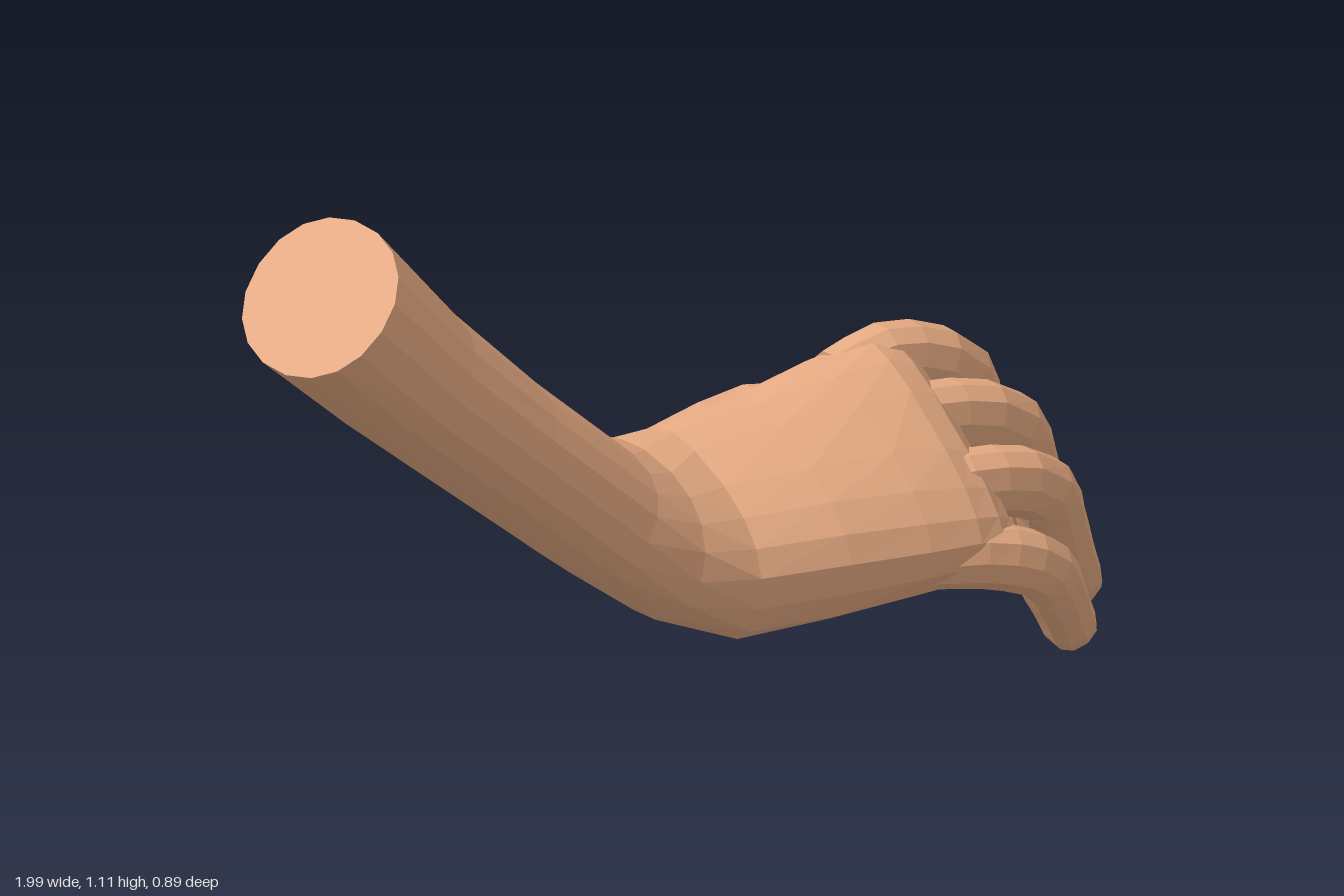
import * as THREE from 'three';

const skin = new THREE.MeshStandardMaterial({ color: 0xe4a981, flatShading: true });
const V = (a) => new THREE.Vector3(...a);

// Skins rings { c: centre, t: half thickness, w: half width, n: squareness }, with capped ends
function loft(name, rings, sides) {
  const pos = [], idx = [];
  const pow = (v, n) => Math.sign(v) * Math.abs(v) ** (2 / n);
  for (const { c, t, w, n } of rings) {
    for (let j = 0; j < sides; j++) {
      const a = ((j + 0.5) / sides) * Math.PI * 2;
      const p = c.clone().addScaledVector(t, pow(Math.cos(a), n)).addScaledVector(w, pow(Math.sin(a), n));
      pos.push(p.x, p.y, p.z);
    }
  }
  const last = rings.length - 1;
  for (let i = 0; i < last; i++) {
    for (let j = 0; j < sides; j++) {
      const k = (j + 1) % sides, a = i * sides, b = a + sides;
      idx.push(a + j, a + k, b + j, a + k, b + k, b + j);
    }
  }
  const first = pos.length / 3;
  pos.push(...rings[0].c.toArray(), ...rings[last].c.toArray());
  for (let j = 0; j < sides; j++) {
    const k = (j + 1) % sides;
    idx.push(first, k, j, first + 1, last * sides + j, last * sides + k);
  }
  const g = new THREE.BufferGeometry();
  g.setAttribute('position', new THREE.Float32BufferAttribute(pos, 3));
  g.setIndex(idx);
  g.computeVertexNormals();
  const m = new THREE.Mesh(g, skin);
  m.name = name;
  return m;
}

const sections = (list) => list.map(([c, t, w, n]) => ({ c: V(c), t: V(t), w: V(w), n }));

// Finger along a curve, radii spread evenly over its length, rounded tip
function finger(name, points, radii, sides = 10) {
  const curve = new THREE.CatmullRomCurve3(points.map(V));
  const rings = [];
  const add = (c, d, r) => {
    const w = new THREE.Vector3(0, 0, 1).addScaledVector(d, -d.z).normalize();
    const t = w.clone().cross(d);
    rings.push({ c, t: t.multiplyScalar(r), w: w.multiplyScalar(r), n: 2.3 });
  };
  const steps = 12;
  for (let i = 0; i <= steps; i++) {
    const u = i / steps, f = u * (radii.length - 1), k = Math.min(Math.floor(f), radii.length - 2);
    add(curve.getPoint(u), curve.getTangent(u), THREE.MathUtils.lerp(radii[k], radii[k + 1], f - k));
  }
  const end = curve.getPoint(1), d = curve.getTangent(1), r = radii[radii.length - 1];
  for (const a of [0.45, 0.9, 1.25]) {
    add(end.clone().addScaledVector(d, r * Math.sin(a)), d, r * Math.cos(a));
  }
  return loft(name, rings, sides);
}

export function createModel() {
  const hand = new THREE.Group();
  hand.name = 'hand';

  // Forearm, wrist and palm in one skin; the palm rolls towards the little finger
  hand.add(loft('forearmAndPalm', sections([
    [[-0.89, 0.985, 0.118], [0.11, 0.138, 0], [0, 0, 0.258], 2.1],
    [[-0.7, 0.80, 0.115], [0.102, 0.118, 0], [0, 0, 0.247], 2.2],
    [[-0.5, 0.63, 0.113], [0.095, 0.108, 0], [0, 0, 0.243], 2.2],
    [[-0.25, 0.43, 0.105], [0.075, 0.118, 0], [0, -0.01, 0.25], 2.3],
    [[-0.13, 0.357, 0.1], [0.035, 0.15, 0.02], [0, -0.04, 0.262], 2.3],
    [[0, 0.332, 0.11], [0.01, 0.15, 0.04], [0, -0.09, 0.265], 2.4],
    [[0.2, 0.36, 0.125], [0, 0.145, 0.05], [0, -0.11, 0.275], 2.4],
    [[0.38, 0.4, 0.14], [0, 0.12, 0.05], [0, -0.14, 0.275], 2.5],
    [[0.5, 0.42, 0.147], [0, 0.1, 0.045], [0, -0.155, 0.265], 2.7],
    [[0.56, 0.422, 0.147], [0, 0.08, 0.036], [0, -0.152, 0.255], 2.7],
    [[0.6, 0.42, 0.147], [0, 0.045, 0.02], [0, -0.14, 0.235], 2.7],
  ]), 18));

  // Fold of skin between the thumb and the index finger
  hand.add(loft('thumbWeb', sections([
    [[-0.18, 0.41, -0.02], [0, 0.03, -0.04], [0, 0.06, 0.05], 2],
    [[0.0, 0.4, -0.08], [0, 0.06, -0.07], [0, 0.08, 0.06], 2],
    [[0.14, 0.4, -0.14], [0, 0.065, -0.075], [0, 0.11, 0.09], 2],
    [[0.26, 0.4, -0.19], [0, 0.06, -0.065], [0, 0.13, 0.11], 2],
    [[0.35, 0.395, -0.21], [0, 0.05, -0.05], [0, 0.13, 0.115], 2],
    [[0.42, 0.395, -0.2], [0, 0.02, -0.02], [0, 0.125, 0.115], 2],
  ]), 12));

  // Thumb with its fleshy base growing out of the wrist
  hand.add(finger('thumb', [
    [-0.2, 0.39, 0.03], [-0.02, 0.33, -0.04], [0.15, 0.3, -0.13], [0.3, 0.28, -0.245],
    [0.44, 0.285, -0.34], [0.6, 0.305, -0.368], [0.72, 0.312, -0.36],
  ], [0.07, 0.125, 0.148, 0.13, 0.105, 0.08, 0.068], 12));

  // Four curled fingers
  const fingers = {
    indexFinger: [[[0.42, 0.545, -0.07], [0.57, 0.565, -0.085], [0.72, 0.51, -0.09],
      [0.765, 0.4, -0.12], [0.768, 0.3, -0.165], [0.765, 0.222, -0.205]],
    [0.06, 0.077, 0.076, 0.073, 0.066, 0.062]],
    middleFinger: [[[0.42, 0.465, 0.07], [0.58, 0.48, 0.07], [0.755, 0.435, 0.06],
      [0.82, 0.325, 0.02], [0.875, 0.2, -0.025], [0.93, 0.1, -0.068]],
    [0.06, 0.075, 0.075, 0.072, 0.067, 0.064]],
    ringFinger: [[[0.42, 0.375, 0.235], [0.58, 0.388, 0.247], [0.735, 0.35, 0.235],
      [0.795, 0.25, 0.19], [0.843, 0.16, 0.145], [0.885, 0.092, 0.105]],
    [0.06, 0.073, 0.073, 0.07, 0.067, 0.064]],
    littleFinger: [[[0.38, 0.275, 0.335], [0.55, 0.268, 0.368], [0.665, 0.225, 0.372],
      [0.715, 0.16, 0.342], [0.75, 0.108, 0.312], [0.78, 0.062, 0.287]],
    [0.06, 0.069, 0.068, 0.063, 0.058, 0.056]],
  };
  for (const [name, [path, radii]] of Object.entries(fingers)) hand.add(finger(name, path, radii));

  return hand;
}
